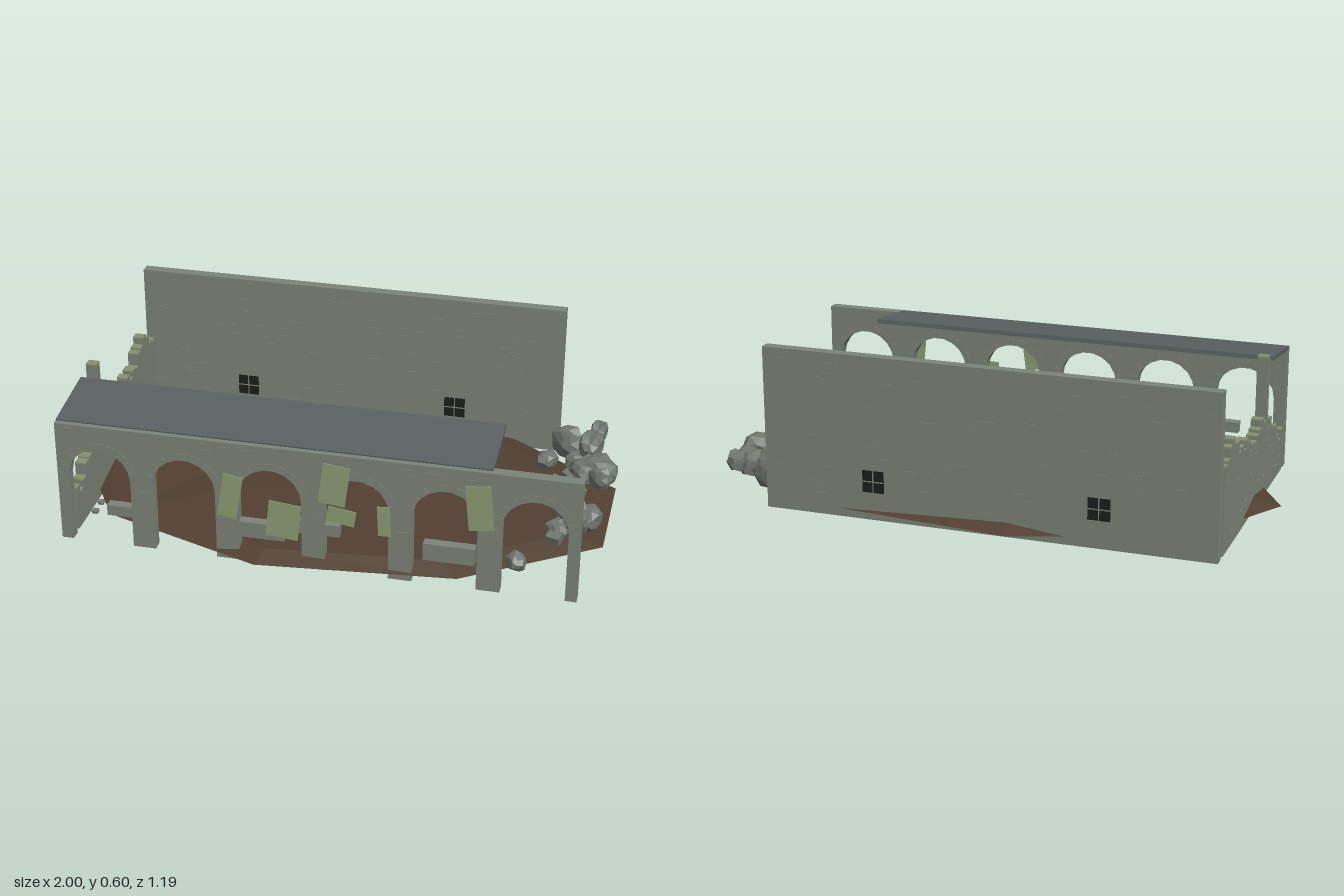
import * as THREE from 'three';

const mat = (color, extra = {}) => new THREE.MeshStandardMaterial({ color, flatShading: true, ...extra });
const STONE = mat(0x7c8377), ROCK = mat(0x70766f), ROOF = mat(0x5a6061), DARK = mat(0x1c1e1a), MOSSY = mat(0x858f70);
const MOSS = mat(0x8a9c74, { side: THREE.DoubleSide }), EARTH = mat(0x513f31, { side: THREE.DoubleSide });

let seed = 7;
const rand = (a = 0, b = 1) => {
  seed = (seed * 16807) % 2147483647;
  return a + (b - a) * seed / 2147483647;
};

function add(parent, name, geometry, material, x = 0, y = 0, z = 0) {
  const mesh = new THREE.Mesh(geometry, material);
  mesh.name = name;
  mesh.position.set(x, y, z);
  parent.add(mesh);
  return mesh;
}
const box = (parent, name, w, h, d, material, x, y, z) =>
  add(parent, name, new THREE.BoxGeometry(w, h, d), material, x, y, z);

function group(parent, name) {
  const g = new THREE.Group();
  g.name = name;
  parent.add(g);
  return g;
}

// Arcade layout
const ARCHES = 6, PITCH = 0.3075, R = 0.1125, SPRING = 0.268, FRONT_Z = 0.51, BASE = 0.005;
const archX = i => -0.745 + i * PITCH;

// Thin, uneven sheet of earth, open underneath
function createGround(root) {
  const profile = [[1, 0.034], [0.88, 0.06], [0.45, 0.074], [0, 0.076]];
  const geo = new THREE.LatheGeometry(profile.map(p => new THREE.Vector2(...p)), 9, -Math.PI / 2);
  const p = geo.attributes.position;
  for (let i = 0; i < p.count; i++) {
    const x = p.getX(i), z = p.getZ(i), y = p.getY(i);
    const bump = y > 0.05 ? 0.008 * Math.sin(x * 7 + 1) * Math.cos(z * 6) : 0;
    p.setXYZ(i, x > 0 ? x * 1.06 : x, y + bump, z * 0.605);
  }
  add(root, 'ground', geo, EARTH);
}

function createArcade(root) {
  const g = group(root, 'arcade');
  const s = new THREE.Shape();
  s.moveTo(-0.9, BASE);
  for (let i = 0; i < ARCHES; i++) {
    s.lineTo(archX(i) - R, BASE);
    s.lineTo(archX(i) - R, SPRING);
    s.absarc(archX(i), SPRING, R, Math.PI, 0, true);
    s.lineTo(archX(i) + R, BASE);
  }
  s.lineTo(0.945, BASE);
  s.lineTo(0.945, 0.47);
  s.lineTo(-0.9, 0.47);
  const geo = new THREE.ExtrudeGeometry(s, { depth: 0.04, bevelEnabled: false, curveSegments: 8 });
  add(g, 'arcadeWall', geo, STONE, 0, 0, FRONT_Z - 0.02);

  // Stones around each arch
  for (let i = 0; i < ARCHES; i++) {
    for (let k = 0; k < 9; k++) {
      const a = Math.PI * (k + 0.5) / 9, r = R + 0.012;
      const stone = box(g, 'archStone', 0.026, 0.036, 0.045, STONE,
        archX(i) + r * Math.cos(a), SPRING + r * Math.sin(a), FRONT_Z);
      stone.rotation.z = a;
    }
  }
  // Raised stones along the top and on the piers
  for (let i = 0; i < 10; i++)
    box(g, 'raisedStone', 0.045, 0.014, 0.044, STONE, rand(-0.86, 0.9), rand(0.42, 0.455), FRONT_Z);
  for (let i = 0; i < 5; i++)
    box(g, 'pierStone', 0.045, 0.016, 0.044, STONE, archX(i) + PITCH / 2 + rand(-0.015, 0.015), rand(0.1, 0.26), FRONT_Z);

  // Broken slabs lodged between the piers
  for (const [x, y, w, h] of [[-0.64, 0.14, 0.17, 0.04], [-0.17, 0.13, 0.18, 0.06], [0.035, 0.167, 0.165, 0.045], [0.5, 0.13, 0.18, 0.065]])
    box(g, 'lodgedSlab', w, h, 0.036, STONE, x, y, FRONT_Z);
}

function createBackWall(root) {
  const g = group(root, 'backWall');
  box(g, 'wallSlab', 1.645, 0.595, 0.04, STONE, -0.0775, 0.3025, -0.51);
  for (const side of [-1, 1])
    for (let i = 0; i < 48; i++)
      box(g, 'raisedStone', rand(0.025, 0.045), 0.016, 0.006, STONE,
        rand(-0.86, 0.7), rand(0.06, 0.56), -0.51 + side * 0.02);
  // Barred windows
  for (const x of [-0.487, 0.335]) {
    const w = group(g, 'window');
    w.position.set(x, 0.147, -0.51);
    box(w, 'opening', 0.08, 0.08, 0.045, DARK, 0, 0, 0);
    box(w, 'uprightBar', 0.004, 0.08, 0.048, STONE, 0, 0, 0);
    box(w, 'crossBar', 0.08, 0.004, 0.048, STONE, 0, 0, 0);
  }
}

function createRuinedWall(root) {
  const g = group(root, 'ruinedWall');
  const tops = [0.173, 0.14, 0.17, 0.218, 0.224, 0.24, 0.279, 0.253, 0.53, 0.298, 0.317, 0.29, 0.279, 0.263,
    0.272, 0.253, 0.298, 0.317, 0.29, 0.314, 0.304, 0.353, 0.36, 0.388, 0.37, 0.333, 0.324];
  const step = 0.0344;
  tops.forEach((top, i) => {
    const z = 0.465 - (i + 0.5) * step, h = top - 0.006 - BASE;
    box(g, 'brokenColumn', 0.04, h, step, STONE, -0.88, BASE + h / 2, z);
    box(g, 'mossyTop', 0.04, 0.006, step, MOSSY, -0.88, top - 0.003, z);
    if (i % 2) box(g, 'raisedStone', 0.006, 0.014, 0.035, STONE, -0.9, rand(0.05, top - 0.04), z);
  });
  // Loose stones at the foot
  for (const z of [0.345, 0.28, -0.09, -0.12]) {
    const stone = add(g, 'footStone', new THREE.DodecahedronGeometry(0.012), ROCK, -0.84, 0.0115, z);
    stone.scale.set(1.3, 0.95, 1.3);
  }
}

function createRoof(root) {
  const roof = box(root, 'leanToRoof', 1.54, 0.016, 0.265, ROOF, -0.13, 0.483, 0.378);
  roof.rotation.x = 0.12;
}

function createHangings(root) {
  const g = group(root, 'mossHangings');
  const list = [[-0.27, 0.262, 0.07, 0.17, -0.16], [-0.08, 0.19, 0.115, 0.14, -0.1], [0.1, 0.355, 0.095, 0.155, -0.13],
    [0.125, 0.235, 0.1, 0.06, -0.15], [0.275, 0.235, 0.045, 0.115, 0.05], [0.603, 0.332, 0.088, 0.172, 0.1]];
  for (const [x, y, w, h, tilt] of list)
    box(g, 'hanging', w, h, 0.004, MOSS, x, y, 0.534).rotation.z = tilt;
}

// Angular boulder: each corner is pushed in or out by a rule on its direction
function boulder(parent, x, y, z, r, sy = 1) {
  const geo = new THREE.IcosahedronGeometry(r, 1);
  const p = geo.attributes.position, k = rand(0, 10);
  const v = new THREE.Vector3(), n = new THREE.Vector3();
  for (let i = 0; i < p.count; i++) {
    v.fromBufferAttribute(p, i);
    n.copy(v).divideScalar(r);
    const push = Math.sin(n.x * 9 + k) * Math.cos(n.y * 8 + k * 2) + Math.sin(n.z * 7 + k * 3);
    v.multiplyScalar(1 + 0.13 * push);
    p.setXYZ(i, v.x * 1.08, v.y * sy, v.z * 0.95);
  }
  geo.computeVertexNormals();
  add(parent, 'boulder', geo, ROCK, x, y, z).rotation.y = k;
}

function createRubble(root) {
  const g = group(root, 'rubble');
  const rocks = [[0.79, 0.095, -0.41, 0.058], [0.88, 0.11, -0.38, 0.053], [0.9, 0.135, -0.45, 0.038], [0.83, 0.055, -0.34, 0.04],
    [0.73, 0.095, -0.265, 0.04, 0.8], [0.93, 0.1, -0.21, 0.063], [0.87, 0.095, -0.19, 0.05], [0.94, 0.1, -0.155, 0.04],
    [0.81, 0.122, 0, 0.047, 1.25], [0.86, 0.085, -0.07, 0.04, 0.85], [0.8, 0.08, -0.02, 0.04],
    [0.88, 0.1, 0.14, 0.06], [0.93, 0.095, 0.12, 0.05], [0.89, 0.12, 0.18, 0.04], [0.83, 0.08, 0.2, 0.038], [0.73, 0.125, 0.5, 0.035]];
  for (const r of rocks) boulder(g, ...r);
  for (const [x, y, z, turn] of [[0.77, 0.07, -0.06, -0.5], [0.84, 0.075, 0.19, 1.3], [0.86, 0.09, -0.22, 0.9]]) {
    const slab = box(g, 'fallenBlock', 0.14, 0.045, 0.05, ROCK, x, y, z);
    slab.rotation.set(0.1, turn, 0.15);
  }
}

export function createModel() {
  seed = 7;
  const root = new THREE.Group();
  root.name = 'ruinedCloister';
  createGround(root);
  createArcade(root);
  createBackWall(root);
  createRuinedWall(root);
  createRoof(root);
  createHangings(root);
  createRubble(root);
  return root;
}
